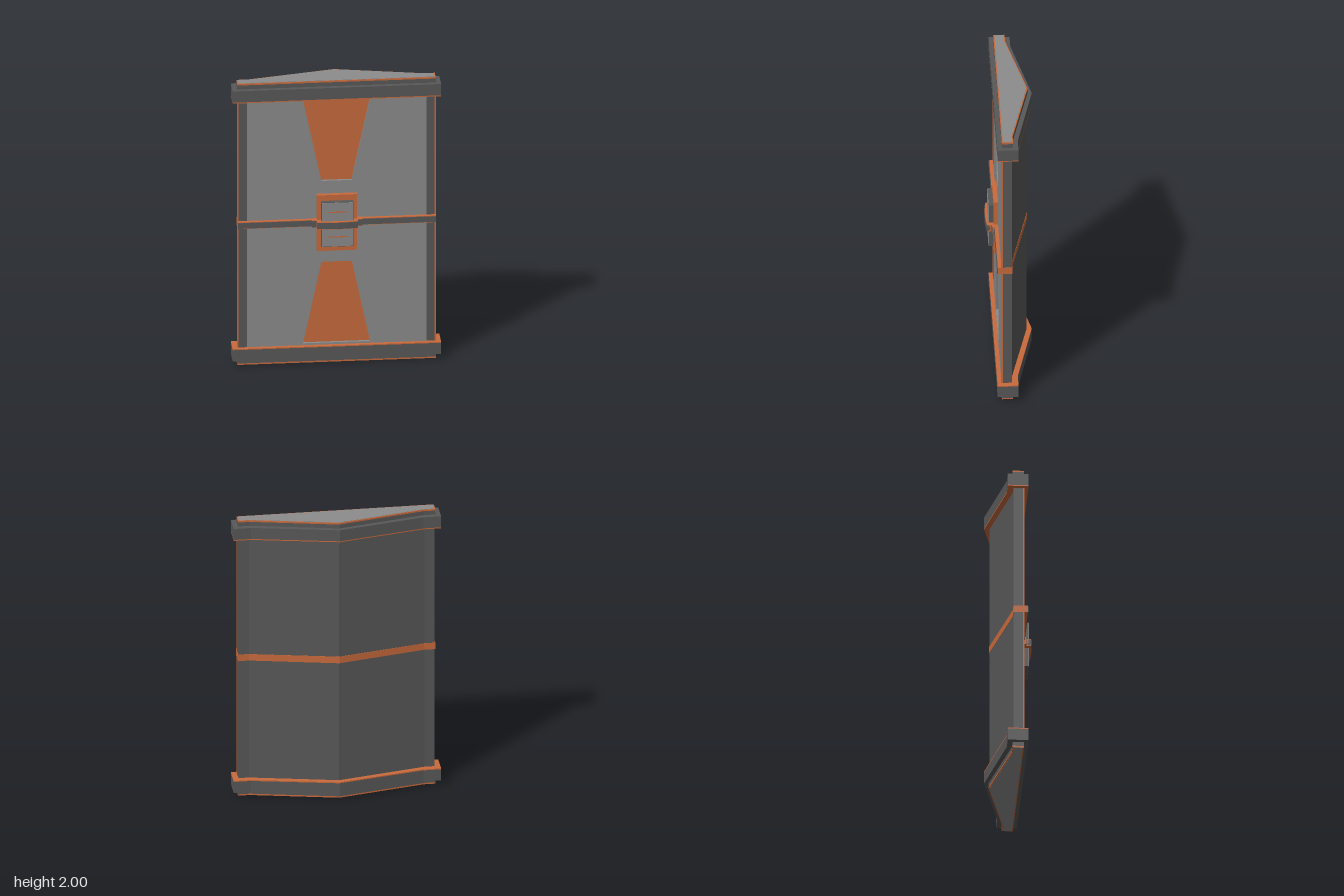
import * as THREE from 'three';

const paint = (color) => new THREE.MeshStandardMaterial({ color, flatShading: true });

export function createModel() {
  const model = new THREE.Group();
  const light = paint(0x8c8c8c), dark = paint(0x595959), orange = paint(0xc96a3c);

  const add = (name, geometry, material) => {
    const mesh = new THREE.Mesh(geometry, material);
    mesh.name = name;
    model.add(mesh);
    return mesh;
  };
  // Box given by its limits on each axis
  const box = (name, material, x0, x1, y0, y1, z0, z1) =>
    add(name, new THREE.BoxGeometry(x1 - x0, y1 - y0, z1 - z0), material)
      .position.set((x0 + x1) / 2, (y0 + y1) / 2, (z0 + z1) / 2);
  // Flat plan outline (x, z), extruded upwards from y0 to y1
  const slab = (name, material, plan, y0, y1) => {
    const shape = new THREE.Shape(plan.map(([x, z]) => new THREE.Vector2(x, -z)));
    const geo = new THREE.ExtrudeGeometry(shape, { depth: y1 - y0, bevelEnabled: false });
    geo.rotateX(-Math.PI / 2).translate(0, y0, 0);
    return add(name, geo, material);
  };
  // Mirrored outline: straight front, short sides, shallow pointed back
  const plan = (w, front, side, shoulder, tip) => [
    [-w, front], [w, front], [w, side], [shoulder, side], [0, tip], [-shoulder, side], [-w, side],
  ];

  // Body core, with a wedge-shaped back
  slab('body', dark, plan(0.648, 0.05, 0, 0.58, -0.122), 0.04, 1.96);

  // Front panel with two tapered recesses
  const trapezoids = [[1.865, 1.29], [0.14, 0.715]].map(([wide, narrow]) =>
    [[-0.22, wide], [0.22, wide], [0.1, narrow], [-0.1, narrow]].map(([x, y]) => new THREE.Vector2(x, y)));
  const panel = new THREE.Shape([[-0.59, 0.08], [0.59, 0.08], [0.59, 1.92], [-0.59, 1.92]]
    .map(([x, y]) => new THREE.Vector2(x, y)));
  trapezoids.forEach((points) => panel.holes.push(new THREE.Path(points)));
  add('frontPanel', new THREE.ExtrudeGeometry(panel, { depth: 0.02, bevelEnabled: false }), light)
    .position.z = 0.05;
  trapezoids.forEach((points) => {
    add('recessFloor', new THREE.ShapeGeometry(new THREE.Shape(points)), orange).position.z = 0.052;
  });

  // Side strips with a fine coloured corner trim
  for (const s of [-1, 1]) {
    const span = (a, b) => (s > 0 ? [a, b] : [-b, -a]);
    box('sideStrip', dark, ...span(0.59, 0.645), 0.08, 1.92, 0.05, 0.07);
    box('cornerTrim', orange, ...span(0.644, 0.652), 0.08, 1.92, 0.062, 0.072);
    box('sideEdge', dark, ...span(0.644, 0.65), 0.08, 1.92, 0.03, 0.062);
  }

  // Top and bottom ends: stepped cap, coloured rim, inset plate and thick band
  const bandPlan = plan(0.685, 0.097, -0.04, 0.57, -0.156);
  const capPlan = plan(0.652, 0.068, -0.006, 0.575, -0.128);
  const insetPlan = plan(0.645, 0.061, 0, 0.572, -0.121);
  for (const top of [false, true]) {
    const end = (name, material, outline, a, b) =>
      (top ? slab(name, material, outline, 2 - b, 2 - a) : slab(name, material, outline, a, b));
    end('endPlate', light, insetPlan, 0, 0.01);
    end('endRim', orange, capPlan, 0.002, 0.012);
    end('endCap', dark, capPlan, 0.012, 0.05);
    end('endBand', dark, bandPlan, 0.04, 0.12);
    end('bandTrim', orange, bandPlan, 0.12, 0.127);
  }

  // Belt around the middle, dark on its front face
  slab('belt', orange, plan(0.652, 0.094, -0.001, 0.58, -0.125), 0.978, 1.025);
  box('beltFront', dark, -0.65, 0.65, 0.982, 1.021, 0.09, 0.098);

  // Clasp: backing plate, raised plates and slots
  box('claspBacking', orange, -0.132, 0.132, 0.805, 1.2, 0.06, 0.1);
  box('claspPlate', dark, -0.105, 0.105, 0.845, 1.16, 0.09, 0.13);
  box('claspFace', light, -0.102, 0.102, 0.848, 1.157, 0.12, 0.132);
  for (const y of [0.915, 1.09]) {
    box('claspSlot', orange, -0.065, 0.065, y - 0.004, y + 0.004, 0.125, 0.133);
  }

  // Bowed bar across the clasp, with a step at each end
  const barPlan = (t) => [
    [-0.166, 0.07], [0.166, 0.07], [0.166, 0.109 + t], [0.135, 0.109 + t], [0.135, 0.142 + t],
    [0.07, 0.149 + t], [0, 0.152 + t], [-0.07, 0.149 + t], [-0.135, 0.142 + t],
    [-0.135, 0.109 + t], [-0.166, 0.109 + t],
  ].reverse();
  slab('claspBar', orange, barPlan(0), 0.976, 1.027);
  slab('claspBarFront', dark, barPlan(0.003), 0.98, 1.023);

  return model;
}
